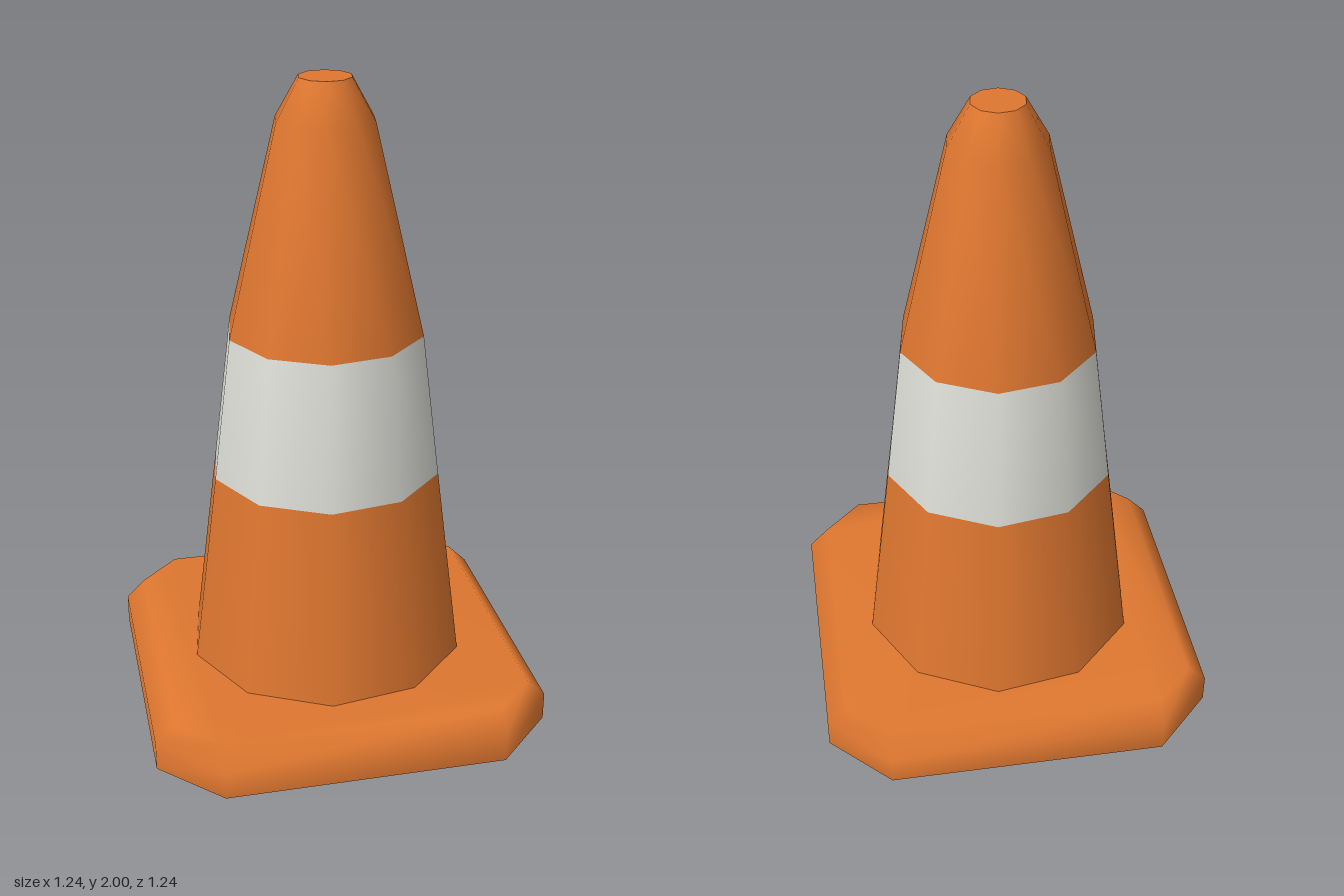
import * as THREE from 'three';

const orange = new THREE.MeshStandardMaterial({ color: 0xdf7730 });
orange.name = 'orange';
const white = new THREE.MeshStandardMaterial({ color: 0xdcddd6 });
white.name = 'white';

const SIDES = 10;

// Square slab with cut corners and a bevelled top edge, smooth except underneath
function baseGeometry() {
  const cut = 0.435;
  const ring = (h, y) => [
    [-cut, h], [cut, h], [h, cut], [h, -cut],
    [cut, -h], [-cut, -h], [-h, -cut], [-h, cut],
  ].flatMap(([x, z]) => [x, y, z]);
  const positions = [
    ...ring(0.62, 0), ...ring(0.62, 0.09), ...ring(0.56, 0.15), // sides, bevel, top
    ...ring(0.62, 0), // underside
  ];
  const index = [];
  for (let i = 0; i < 8; i++) {
    const j = (i + 1) % 8;
    for (const r of [0, 8]) index.push(r + i, r + j, r + 8 + j, r + i, r + 8 + j, r + 8 + i);
    if (i > 0 && i < 7) {
      index.push(16, 16 + i, 16 + j);
      index.push(24, 24 + j, 24 + i);
    }
  }
  const geometry = new THREE.BufferGeometry();
  geometry.setAttribute('position', new THREE.Float32BufferAttribute(positions, 3));
  geometry.setIndex(index);
  geometry.computeVertexNormals();
  return geometry;
}

// Ten-sided tapered body; each profile step picks its own colour
function bodyGeometry() {
  const profile = [[0.446, 0.15], [0.365, 0.775], [0.308, 1.23], [0.152, 1.875], [0.081, 2]]
    .map(([r, y]) => new THREE.Vector2(r, y));
  const stepMaterial = [0, 1, 0, 0];
  const geometry = new THREE.LatheGeometry(profile, SIDES, Math.PI * 0.75);
  for (let i = 0; i < SIDES; i++) {
    stepMaterial.forEach((m, j) => geometry.addGroup((i * stepMaterial.length + j) * 6, 6, m));
  }
  return geometry;
}

export function createModel() {
  const group = new THREE.Group();
  group.name = 'trafficCone';
  const add = (name, geometry, material) => {
    const mesh = new THREE.Mesh(geometry, material);
    mesh.name = name;
    group.add(mesh);
    return mesh;
  };

  add('base', baseGeometry(), orange);
  add('stripedBody', bodyGeometry(), [orange, white]);

  // Flat tip
  const tip = new THREE.CircleGeometry(0.081, SIDES, Math.PI / 4).rotateX(-Math.PI / 2);
  add('tip', tip, orange).position.y = 2;

  return group;
}
